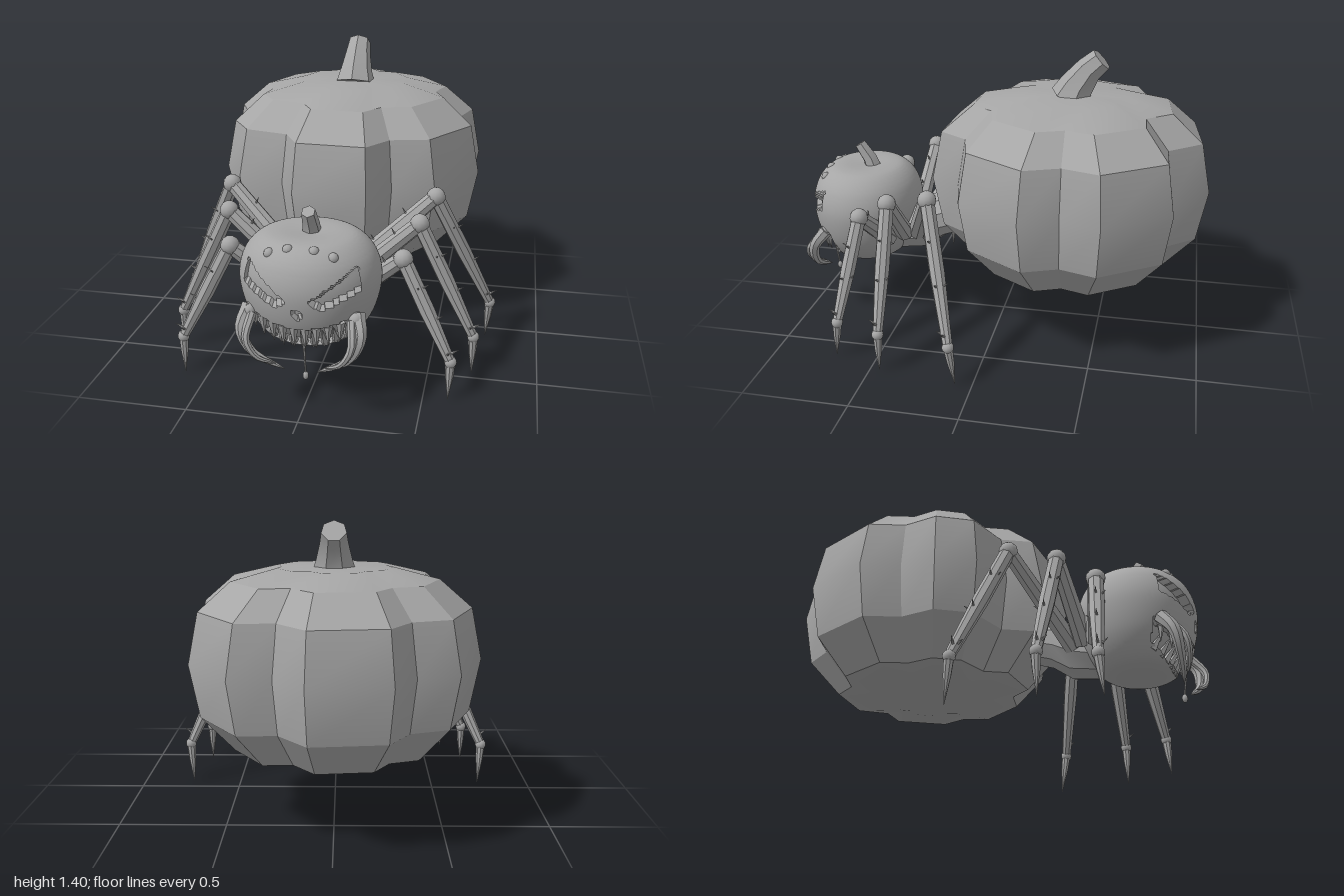
import * as THREE from 'three';
import { toCreasedNormals } from 'three/addons/utils/BufferGeometryUtils.js';

const V = (x, y, z) => new THREE.Vector3(x, y, z);
const grey = new THREE.MeshStandardMaterial({ color: 0xa6a6a6 });
grey.name = 'grey';

function add(parent, name, geometry) {
  const mesh = new THREE.Mesh(geometry, grey);
  mesh.name = name;
  parent.add(mesh);
  return mesh;
}

// Skin between rings that run counter-clockwise about the loft direction
function loft(rings, crease = 0.6) {
  const n = rings[0].length, pos = [], index = [];
  rings.forEach(ring => ring.forEach(p => pos.push(p.x, p.y, p.z)));
  for (let i = 0; i < rings.length - 1; i++) {
    for (let j = 0; j < n; j++) {
      const a = i * n + j, b = i * n + (j + 1) % n;
      index.push(a, b, b + n, a, b + n, a + n);
    }
  }
  const g = new THREE.BufferGeometry();
  g.setAttribute('position', new THREE.Float32BufferAttribute(pos, 3));
  g.setIndex(index);
  return toCreasedNormals(g, crease);
}

// Tapered closed tube through points, one radius per point
function limb(points, radii, sides = 8, ref = V(0, 0, 1)) {
  const last = points.length - 1;
  const rings = points.map((p, i) => {
    const t = points[Math.min(i + 1, last)].clone().sub(points[Math.max(i - 1, 0)]).normalize();
    const u = ref.clone().cross(t).normalize(), v = t.clone().cross(u);
    return Array.from({ length: sides }, (_, k) => {
      const a = k / sides * Math.PI * 2;
      return p.clone().addScaledVector(u, radii[i] * Math.cos(a)).addScaledVector(v, radii[i] * Math.sin(a));
    });
  });
  const cap = p => Array.from({ length: sides }, () => p.clone());
  return loft([cap(points[0]), ...rings, cap(points[last])]);
}

function ball(parent, name, p, r, stretch = 1) {
  const m = add(parent, name, new THREE.SphereGeometry(r, 12, 8));
  m.position.copy(p);
  m.scale.y = stretch;
}

// Curved spike that thins to a point
function hook(points, r) {
  const pts = new THREE.CatmullRomCurve3(points).getPoints(10);
  return limb(pts, pts.map((_, i) => r * Math.sqrt(1 - i / 10) + 0.001), 7);
}

function inside(x, y, poly) {
  let hit = false;
  poly.forEach(([ax, ay], i) => {
    const [bx, by] = poly[(i + 1) % poly.length];
    if ((ay > y) !== (by > y) && x < (bx - ax) * (y - ay) / (by - ay) + ax) hit = !hit;
  });
  return hit;
}

// Head profile and its front surface
const HEAD_Z = 0.715, HEAD_DEPTH = 0.89;
const profile = new THREE.SplineCurve([[0, 0.3], [0.13, 0.3], [0.21, 0.335], [0.28, 0.44], [0.31, 0.58],
  [0.285, 0.69], [0.22, 0.76], [0.14, 0.778], [0, 0.765]].map(p => new THREE.Vector2(...p))).getPoints(90);

function headFront(x, y) {
  const p = profile.reduce((a, b) => Math.abs(b.y - y) < Math.abs(a.y - y) ? b : a);
  return HEAD_Z + HEAD_DEPTH * Math.sqrt(Math.max(p.x * p.x - x * x, 0.002));
}

function buildHead(parent) {
  const head = new THREE.Group();
  head.name = 'head';
  parent.add(head);

  // Round shell with eyes, nose and mouth sunk into the front
  const eye = [[0.23, 0.695], [0.05, 0.565], [0.1, 0.54], [0.25, 0.6]];
  const nose = [[-0.03, 0.53], [0.03, 0.53], [0, 0.483]];
  const mouth = [[-0.255, 0.48], [-0.12, 0.44], [0, 0.425], [0.12, 0.44], [0.255, 0.48],
    [0.22, 0.38], [0.12, 0.325], [0, 0.315], [-0.12, 0.325], [-0.22, 0.38]];
  const shell = new THREE.LatheGeometry(profile, 160).rotateY(Math.PI).scale(1, 1, HEAD_DEPTH);
  const pos = shell.attributes.position;
  for (let i = 0; i < pos.count; i++) {
    const x = pos.getX(i), y = pos.getY(i), z = pos.getZ(i);
    if (z <= 0) continue;
    const depth = inside(Math.abs(x), y, eye) ? 0.04 : inside(x, y, nose) ? 0.025 : inside(x, y, mouth) ? 0.06 : 0;
    pos.setZ(i, z - depth);
  }
  shell.translate(0, 0, HEAD_Z);
  shell.deleteAttribute('normal');
  shell.deleteAttribute('uv');
  add(head, 'headShell', toCreasedNormals(shell, 0.7));

  add(head, 'headStem', limb([V(0, 0.74, 0.68), V(0, 0.8, 0.7), V(0, 0.875, 0.75)], [0.045, 0.038, 0.031], 6, V(1, 0, 0)));

  // Small extra eyes
  for (const [x, y] of [[-0.135, 0.735], [-0.055, 0.757], [0.055, 0.757], [0.135, 0.735]])
    ball(head, 'smallEye', V(x, y, 0.89), 0.023);

  // Two interlocking rows of teeth
  const tooth = (x, y0, y1) => add(head, 'tooth', limb(
    [V(x, y0, headFront(x, y0) - 0.02), V(x * 0.97, y1, headFront(x, (y0 + y1) / 2) - 0.005)], [0.021, 0.001], 5));
  for (let i = 0; i < 10; i++) {
    const x = -0.216 + i * 0.048;
    tooth(x, 0.435 + 0.7 * x * x, 0.33 + 0.9 * x * x);
  }
  for (let i = 0; i < 9; i++) {
    const x = -0.184 + i * 0.046;
    tooth(x, 0.312 + 1.2 * x * x, 0.405 + 0.9 * x * x);
  }

  // Curved fangs at both corners of the mouth
  for (const s of [-1, 1]) {
    add(head, 'outerFang', hook([V(s * 0.235, 0.48, 0.87), V(s * 0.255, 0.4, 0.93),
      V(s * 0.21, 0.3, 0.94), V(s * 0.07, 0.215, 0.92)], 0.032));
    add(head, 'innerFang', hook([V(s * 0.215, 0.46, 0.9), V(s * 0.225, 0.37, 0.97),
      V(s * 0.18, 0.29, 0.97), V(s * 0.105, 0.25, 0.94)], 0.02));
    ball(head, 'fangRoot', V(s * 0.23, 0.465, 0.885), 0.033);
  }

  // Hanging drop
  add(head, 'droolStrand', limb([V(0.015, 0.33, 0.92), V(0.015, 0.19, 0.9)], [0.006, 0.004], 6));
  ball(head, 'droolDrop', V(0.015, 0.182, 0.9), 0.013, 1.5);
}

function buildAbdomen(parent) {
  // Six-lobed outline with a groove between lobes, as [x, z]
  const outline = [[0.11, -1], [-0.25, -0.96], [-0.35, -0.8], [-0.54, -0.735], [-0.67, -0.4], [-0.59, -0.23],
    [-0.61, -0.05], [-0.5, 0.11], [-0.27, 0.165], [-0.185, 0.31], [0.17, 0.32], [0.27, 0.17],
    [0.47, 0.12], [0.66, -0.185], [0.59, -0.36], [0.645, -0.545], [0.44, -0.845], [0.25, -0.835]];
  const levels = [[0.335, 0.001], [0.325, 0.3], [0.37, 0.7], [0.54, 0.93], [0.785, 1],
    [1.02, 0.93], [1.148, 0.71], [1.2, 0.4], [1.2, 0.001]];
  add(parent, 'pumpkinAbdomen', loft(levels.map(([y, k]) =>
    outline.map(([x, z]) => V(x * k, y, -0.34 + (z + 0.34) * k))), 0.42));

  add(parent, 'abdomenStem', limb([V(0, 1.18, -0.33), V(0, 1.24, -0.355), V(0, 1.32, -0.41), V(0, 1.37, -0.465)],
    [0.105, 0.085, 0.066, 0.058], 7, V(1, 0, 0)));
  add(parent, 'neck', limb([V(0, 0.44, 0.56), V(0, 0.47, 0.44), V(0, 0.52, 0.34), V(0, 0.57, 0.18)],
    [0.12, 0.135, 0.115, 0.11], 10, V(1, 0, 0)));
}

function buildLeg(parent, name, s, [hip, knee, ankle, tip]) {
  const leg = new THREE.Group();
  leg.name = name;
  parent.add(leg);
  const [h, k, a, t] = [hip, knee, ankle, tip].map(p => V(s * p[0], p[1], p[2]));
  add(leg, 'thigh', limb([h, k], [0.046, 0.036]));
  ball(leg, 'knee', k, 0.044);
  add(leg, 'shin', limb([k, k.clone().lerp(a, 0.5), a], [0.035, 0.036, 0.023]));
  ball(leg, 'ankle', a, 0.028);
  add(leg, 'claw', limb([a, a.clone().lerp(t, 0.4), t], [0.023, 0.018, 0.001]));
  // Thorns along thigh and shin
  const thorn = (p, d) => add(leg, 'thorn', limb([p, p.clone().add(d)], [0.011, 0.001], 5));
  for (const f of [0.3, 0.6, 0.93]) {
    const p = k.clone().lerp(a, f);
    thorn(p, V(s * 0.05, 0.035, 0.012));
    thorn(p, V(s * 0.008, 0.03, f === 0.6 ? -0.045 : 0.045));
  }
  for (const f of [0.35, 0.7]) thorn(h.clone().lerp(k, f), V(-s * 0.03, 0.06, 0.01));
}

export function createModel() {
  const model = new THREE.Group();
  model.name = 'pumpkinSpider';
  buildAbdomen(model);
  buildHead(model);

  // Hip, knee, ankle and tip of each left leg, mirrored to the right
  const legs = {
    front: [[0.17, 0.44, 0.56], [0.39, 0.64, 0.63], [0.615, 0.19, 0.685], [0.61, 0.01, 0.7]],
    middle: [[0.13, 0.46, 0.49], [0.44, 0.745, 0.47], [0.7, 0.2, 0.455], [0.7, 0.01, 0.455]],
    back: [[0.1, 0.46, 0.43], [0.49, 0.8, 0.26], [0.76, 0.21, 0.105], [0.745, 0.01, 0.08]],
  };
  for (const s of [1, -1])
    for (const [place, joints] of Object.entries(legs))
      buildLeg(model, place + (s > 0 ? 'LeftLeg' : 'RightLeg'), s, joints);
  return model;
}
